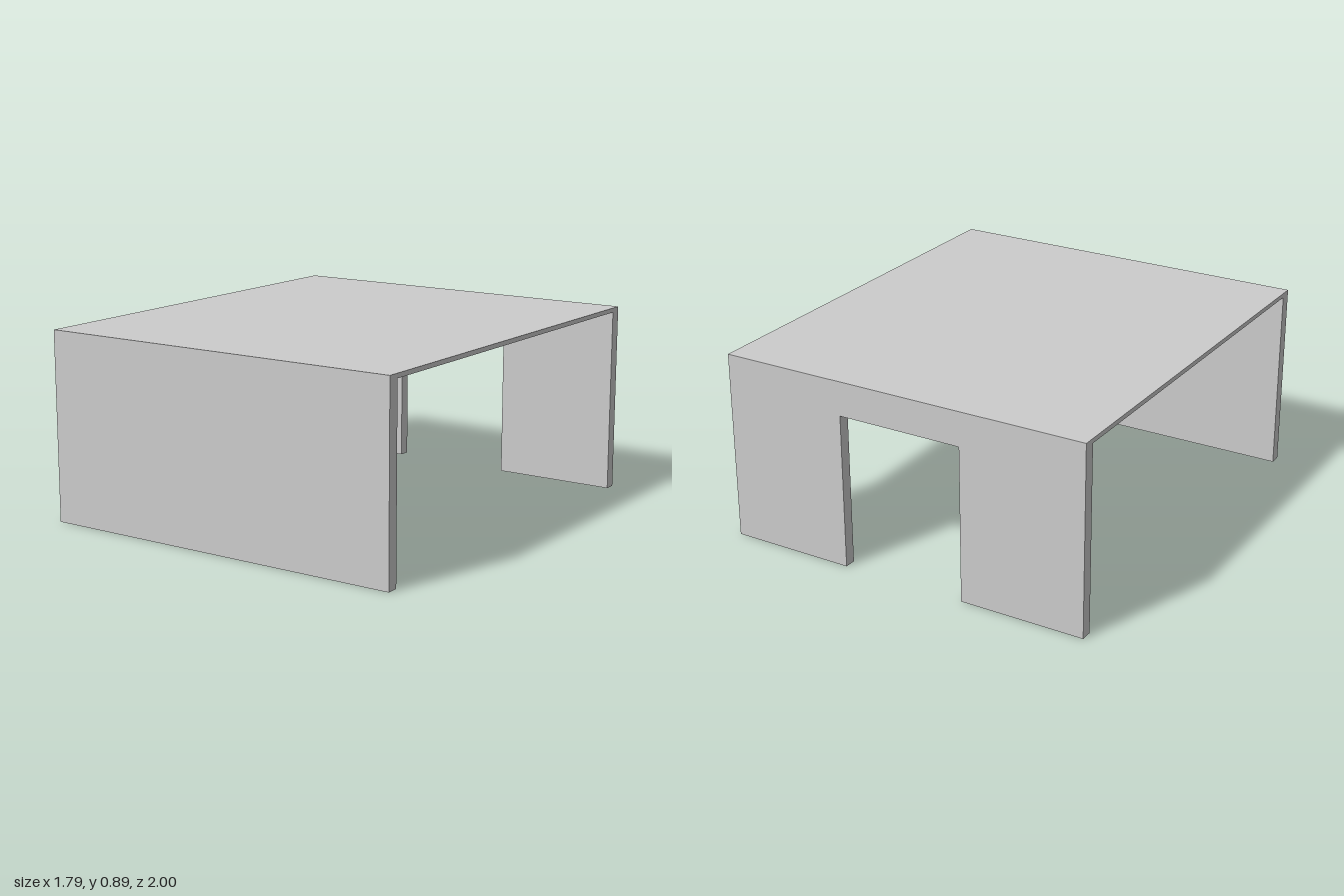
import * as THREE from 'three';

const W = 1.79, H = 0.89, D = 2;      // overall size
const WALL = 0.055, TOP = 0.021;      // panel thicknesses
const GAP = 0.3, GAP_TOP = 0.73;      // half width and height of the rear opening

export function createModel() {
  const group = new THREE.Group();
  const material = new THREE.MeshStandardMaterial({ color: 0xcccccc });
  const add = (name, geometry, x, y, z) => {
    const mesh = new THREE.Mesh(geometry, material);
    mesh.name = name;
    mesh.position.set(x, y, z);
    group.add(mesh);
  };

  // Thin top resting between the tops of the two end walls
  add('tableTop', new THREE.BoxGeometry(W, TOP, D - 2 * WALL), 0, H - TOP / 2, 0);

  // Solid front wall
  add('frontWall', new THREE.BoxGeometry(W, H, WALL), 0, H / 2, D / 2 - WALL / 2);

  // Rear wall: two wide legs joined by an apron, cut as one outline
  const h = W / 2;
  const outline = new THREE.Shape([
    [-h, 0], [-GAP, 0], [-GAP, GAP_TOP], [GAP, GAP_TOP],
    [GAP, 0], [h, 0], [h, H], [-h, H],
  ].map(([x, y]) => new THREE.Vector2(x, y)));
  add('rearWall', new THREE.ExtrudeGeometry(outline, { depth: WALL, bevelEnabled: false }), 0, 0, -D / 2);

  return group;
}
